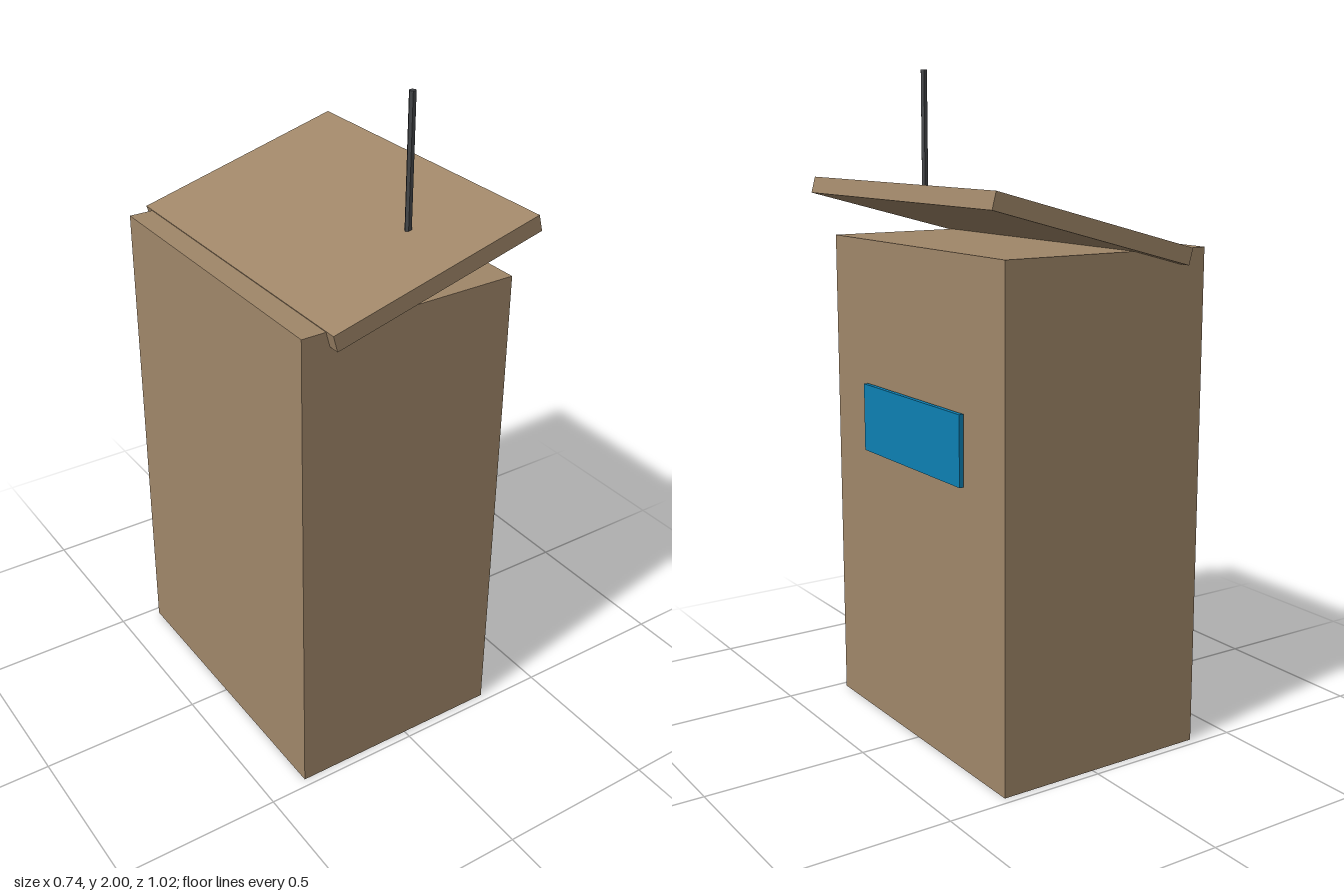
import * as THREE from 'three';

export function createModel() {
  const group = new THREE.Group();
  const material = (name, color) => {
    const m = new THREE.MeshStandardMaterial({ color, flatShading: true });
    m.name = name;
    return m;
  };
  const tan = material('tan', 0xa08769);
  const blue = material('blue', 0x0d80b3);
  const darkGrey = material('darkGrey', 0x434548);

  const add = (name, geometry, mat, x, y, z) => {
    const mesh = new THREE.Mesh(geometry, mat);
    mesh.name = name;
    mesh.position.set(x, y, z);
    group.add(mesh);
    return mesh;
  };

  // Tall cabinet
  add('body', new THREE.BoxGeometry(0.68, 1.5, 0.95), tan, -0.033, 0.75, 0);

  // Sloping lid, rising towards the side with the plate
  const roof = add('roof', new THREE.BoxGeometry(0.68, 0.05, 1.02), tan, 0.035, 1.567, 0);
  roof.rotation.z = THREE.MathUtils.degToRad(15);

  // Plate standing just off the side wall
  add('sidePlate', new THREE.BoxGeometry(0.014, 0.208, 0.55), blue, 0.318, 0.956, 0);

  // Six-sided aerial with its foot sunk into the lid
  const aerial = add('aerial', new THREE.CylinderGeometry(0.0107, 0.0107, 0.41, 6), darkGrey, 0.103, 1.795, 0.27);
  aerial.rotation.y = Math.PI / 2;

  return group;
}
